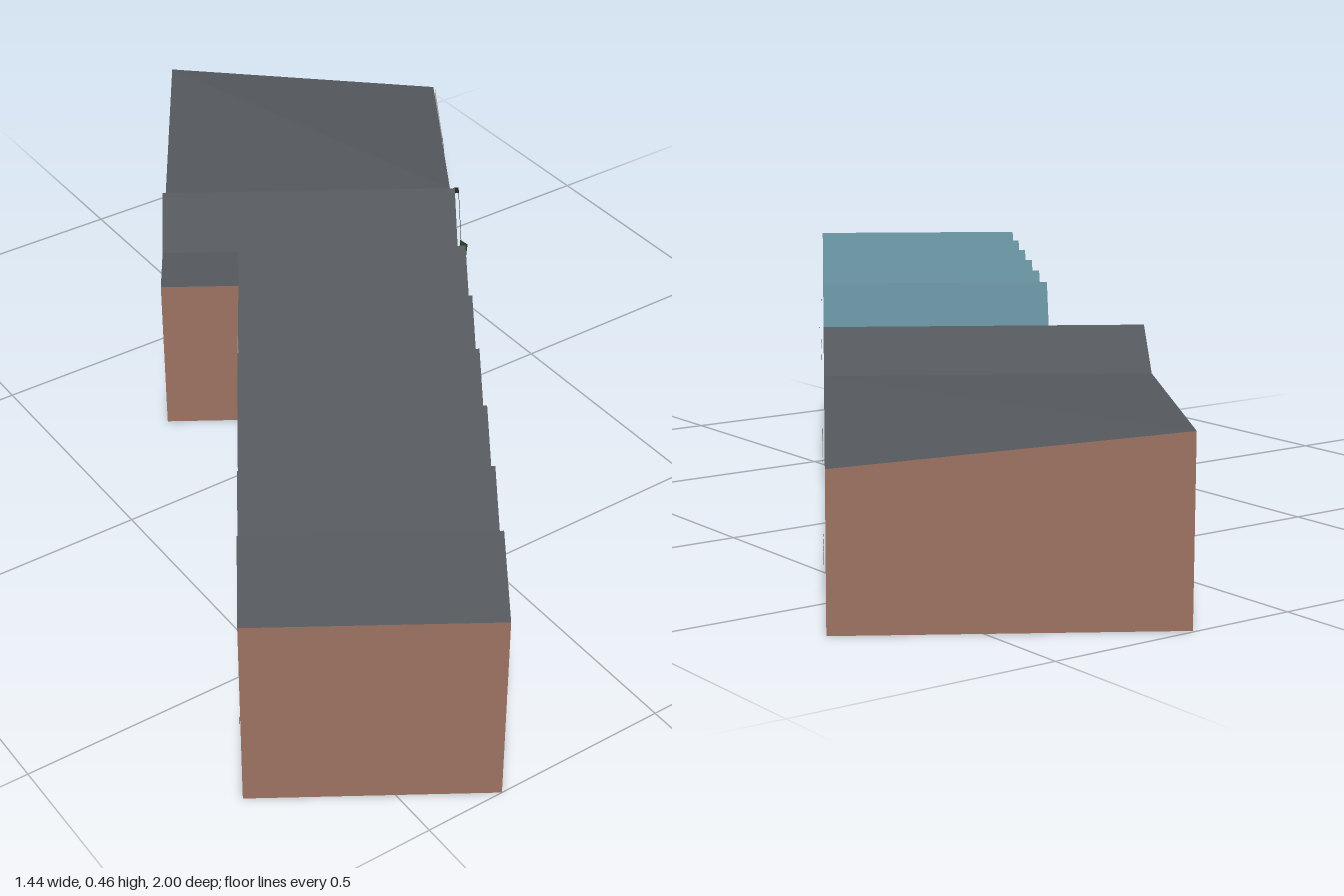
import * as THREE from 'three';

// Local frame: z = -s (s runs from the front end to the back end),
// x = -t (t runs from the street facade to the rear side).
const HALL = 0.447, BLOCK = 0.605, LEN = 1.98; // hall depth, block depth, total length
const JOIN = 1.08, PORCH0 = 1.205, PORCH1 = 1.437, RIDGE = 1.32, EAVE = 0.337;

const mat = (name, color, ) => {
  const m = new THREE.MeshStandardMaterial({ color, side: THREE.DoubleSide });
  m.name = name;
  return m;
};

export function createModel() {
  const M = {
    brick: mat('brick', 0x9a7160),
    roof: mat('slate roof', 0x53575b),
    glass: mat('teal glass', 0x628a97),
    dark: mat('dark panel', 0x373536),
    white: mat('white panel', 0xd6d9cf),
    leaf: mat('dark green', 0x355235),
    green: mat('door green', 0x567a42),
    red: mat('door red', 0xa8433a),
    blue: mat('mural blue', 0x3478bf),
    tan: mat('light clay', 0xad7d69),
  };
  const model = new THREE.Group();
  const building = new THREE.Group();
  building.name = 'building';
  building.position.set(-0.345, 0, 1.0);
  building.rotation.y = -0.567;
  model.add(building);

  const add = (name, geo, m) => {
    const mesh = new THREE.Mesh(geo, m);
    mesh.name = name;
    building.add(mesh);
    return mesh;
  };
  const shape = (pts) => new THREE.ShapeGeometry(new THREE.Shape(pts.map(([a, b]) => new THREE.Vector2(a, b))));
  // Upright panel along the length, points are [s, y]; side 1 faces the street, -1 the rear
  const side = (name, m, pts, t = 0, out = 0) => {
    const geo = shape(pts).rotateY(Math.PI / 2);
    if (t > 0) { // face the rear: reverse the winding
      const idx = geo.index.array;
      for (let i = 0; i < idx.length; i += 3) [idx[i], idx[i + 1]] = [idx[i + 1], idx[i]];
      geo.computeVertexNormals();
    }
    return add(name, geo.translate(-t + (t > 0 ? -out : out), 0, 0), m);
  };
  const paint = (name, m, pts, t = 0) => side(name, m, pts, t, 0.004);
  const rect = (s0, s1, y0, y1) => [[s0, y0], [s1, y0], [s1, y1], [s0, y1]];
  // Upright wall across the building, points are [t, y]
  const cross = (name, m, pts, s, back = false) => {
    const geo = shape(pts.map(([t, y]) => [back ? t : -t, y]));
    if (back) geo.rotateY(Math.PI);
    return add(name, geo.translate(0, 0, -s), m);
  };
  // Sloping sheet between two [s, y] edges, from the street side to depth t1
  const sheet = (name, m, a, b, t1, backA = a[1], backB = b[1]) => {
    const p = [[0, a[1], -a[0]], [0, b[1], -b[0]], [-t1, backB, -b[0]], [-t1, backA, -a[0]]];
    const geo = new THREE.BufferGeometry();
    geo.setAttribute('position', new THREE.Float32BufferAttribute([0, 1, 2, 0, 2, 3].flatMap((i) => p[i]), 3));
    geo.computeVertexNormals();
    return add(name, geo, m);
  };

  // Sawtooth hall profile: slate rising to each ridge, glass dropping behind it
  const saw = [[0, 0.392]];
  for (let i = 0; i < 6; i++) {
    const s = 0.16 + i * 0.175;
    saw.push([s, 0.453], i < 5 ? [s + 0.048, 0.395] : [1.1, EAVE]);
  }
  for (let i = 0; i < saw.length - 1; i++) {
    const glazed = i % 2 === 1;
    sheet(glazed ? 'northLight' : 'sawtoothRoof', glazed ? M.glass : M.roof, saw[i], saw[i + 1], HALL);
  }

  // Hall walls
  side('hallStreetWall', M.brick, [[0, 0], [PORCH0, 0], [PORCH0, EAVE], ...saw.slice().reverse()]);
  side('hallRearWall', M.brick, [[0, 0], [1.1, 0], ...saw.slice().reverse()], HALL);
  cross('hallEndWall', M.brick, rect(0, HALL, 0, 0.392), 0);

  // Back block walls
  cross('blockFrontWall', M.brick, rect(0, BLOCK, 0, EAVE), JOIN);
  side('blockRearWall', M.brick, rect(JOIN, LEN, 0, EAVE), BLOCK);
  side('blockStreetWall', M.brick, [[PORCH1, 0], [LEN, 0], [LEN, 0.28], [PORCH1, EAVE]]);
  cross('blockEndWall', M.brick, [[0, 0], [BLOCK, 0], [BLOCK, EAVE], [0, 0.28]], LEN, true);

  // Back block roofs
  sheet('flatRoof', M.roof, [JOIN, EAVE], [PORCH0, EAVE], BLOCK);
  sheet('gableRoofFront', M.roof, [PORCH0, EAVE], [RIDGE, 0.41], BLOCK);
  sheet('gableRoofBack', M.roof, [RIDGE, 0.41], [PORCH1, EAVE], BLOCK);
  sheet('blockRoof', M.roof, [PORCH1, EAVE], [LEN, 0.28], BLOCK, EAVE, EAVE);
  side('rearGable', M.white, [[PORCH0, EAVE], [PORCH1, EAVE], [RIDGE, 0.41]], BLOCK);

  // Entrance bay
  side('entranceDarkGlass', M.dark, [[PORCH0, 0], [PORCH1, 0], [PORCH1, 0.145], [PORCH0, 0.025]]);
  side('entranceGlass', M.glass, [[PORCH0, 0.025], [PORCH1, 0.145], [PORCH0, 0.145]]);
  side('entranceBand', M.dark, rect(PORCH0, PORCH1, 0.145, 0.2));
  side('entranceFascia', M.white, rect(PORCH0, PORCH1, 0.2, 0.252));
  side('entranceGable', M.dark,
    [[PORCH0, 0.27], [PORCH1, 0.27], [PORCH1, 0.31], [RIDGE, 0.39], [PORCH0, 0.31]]);
  // Bargeboards along the gable edge
  for (const s of [PORCH0, PORCH1])
    side('bargeboard', M.dark, [[s, EAVE - 0.012], [RIDGE, 0.398], [RIDGE, 0.412], [s, EAVE + 0.002]], 0, 0.008);

  // Hall windows on both long sides
  for (const t of [0, HALL]) {
    paint('hallWindowGlass', M.glass, [[0.61, 0.267], [0.94, 0.273], [0.85, 0.314]], t);
    paint('hallWindowPale', M.white, [[0.94, 0.272], [1.075, 0.315], [0.85, 0.312]], t);
  }
  paint('rearVent', M.dark, [[0.07, 0.075], [0.14, 0.06], [0.1, 0.09]], HALL);
  paint('hallDoor', M.dark, rect(0.393, 0.512, 0, 0.145));
  paint('clayMark', M.tan, [[1.06, 0.135], [1.14, 0.1], [1.15, 0.06]]);
  paint('leafSign', M.leaf,
    [[1.035, 0.456], [1.2, 0.36], [1.203, 0.32], [1.16, 0.31], [1.125, 0.262], [1.1, 0.33]]);

  // Block doors, window band and mural
  paint('redDoor', M.red, rect(1.47, 1.512, 0.005, 0.112));
  for (const s of [1.548, 1.65]) paint('greenDoor', M.green, rect(s, s + 0.09, 0.014, 0.118));
  paint('muralGlass', M.glass, [[1.75, 0.037], [LEN, 0.107], [1.75, 0.107]]);
  paint('muralBlue', M.blue, [[1.75, 0.037], [LEN, 0.037], [LEN, 0.107]]);
  paint('blockWindowGlass', M.glass, [[1.47, 0.26], [1.64, 0.247], [1.73, 0.3]]);
  paint('blockWindowPale', M.white,
    [[1.64, 0.246], [1.72, 0.24], [1.78, 0.255], [LEN, 0.246], [LEN, 0.277], [1.73, 0.295]]);

  return model;
}
